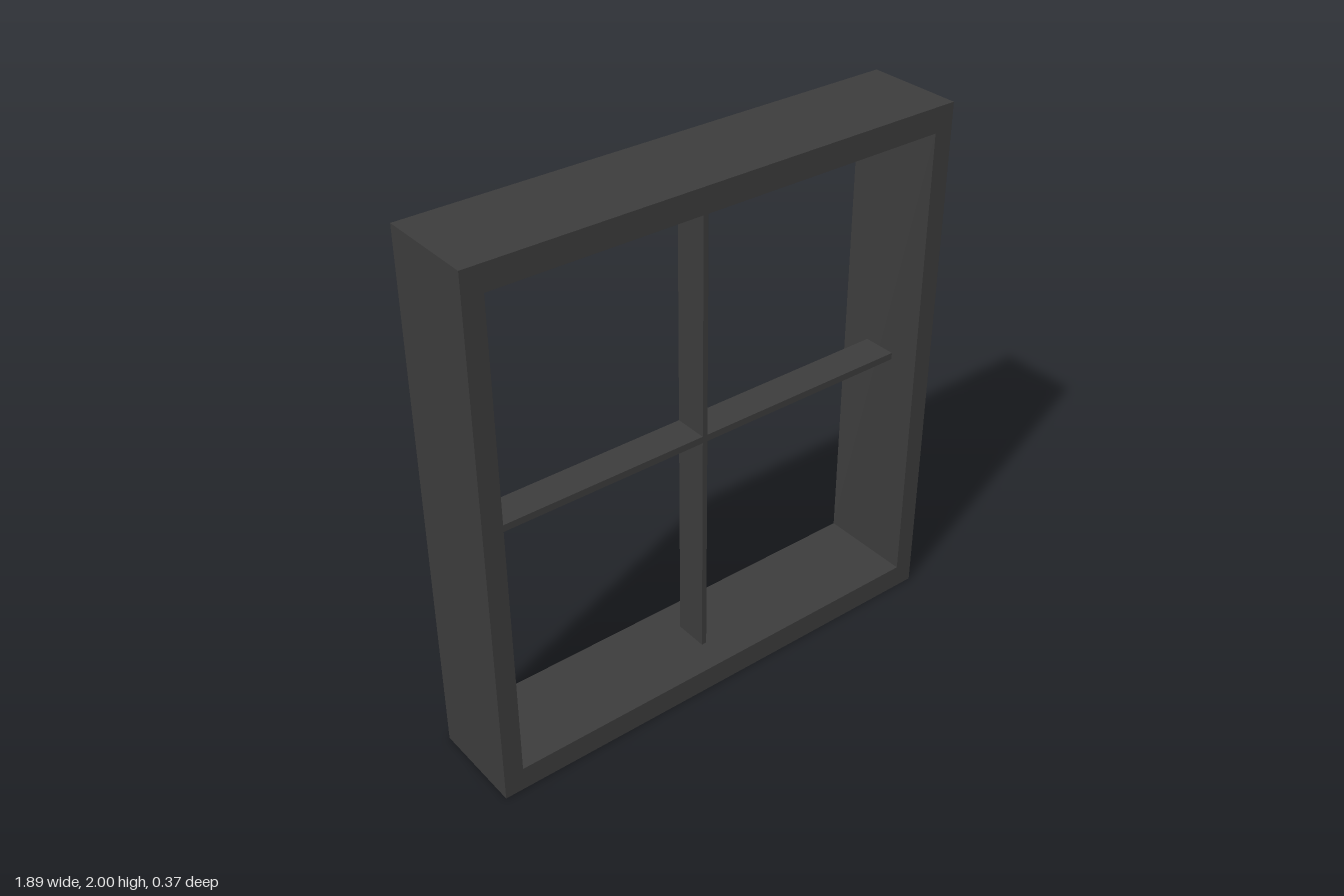
import * as THREE from 'three';

const WIDTH = 1.89, HEIGHT = 2, DEPTH = 0.365;
const SIDE = 0.074, RAIL = 0.092; // frame thickness at the sides and at top/bottom
const BAR_DEPTH = 0.13, MULLION = 0.02, TRANSOM = 0.026;

// Rectangle outline centred on x, from y0 to y1
function rectangle(Type, halfWidth, y0, y1) {
  const path = new Type();
  path.moveTo(-halfWidth, y0);
  path.lineTo(halfWidth, y0);
  path.lineTo(halfWidth, y1);
  path.lineTo(-halfWidth, y1);
  path.closePath();
  return path;
}

export function createModel() {
  const group = new THREE.Group();
  group.name = 'window';
  const darkGrey = new THREE.MeshStandardMaterial({ color: 0x3c3c3c });
  darkGrey.name = 'darkGrey';

  function add(name, geometry, x = 0, y = 0, z = 0) {
    const mesh = new THREE.Mesh(geometry, darkGrey);
    mesh.name = name;
    mesh.position.set(x, y, z);
    group.add(mesh);
  }

  // Deep outer frame with a rectangular opening
  const innerHalf = WIDTH / 2 - SIDE;
  const outline = rectangle(THREE.Shape, WIDTH / 2, 0, HEIGHT);
  outline.holes.push(rectangle(THREE.Path, innerHalf, RAIL, HEIGHT - RAIL));
  add('outerFrame', new THREE.ExtrudeGeometry(outline, { depth: DEPTH, bevelEnabled: false }), 0, 0, -DEPTH / 2);

  // Vertical glazing bar
  add('verticalBar', new THREE.BoxGeometry(MULLION, HEIGHT - 2 * RAIL, BAR_DEPTH), 0, HEIGHT / 2);

  // Horizontal glazing bar, one half on each side of the vertical bar
  const length = innerHalf - MULLION / 2;
  for (const [name, side] of [['leftHorizontalBar', 1], ['rightHorizontalBar', -1]]) {
    add(name, new THREE.BoxGeometry(length, TRANSOM, BAR_DEPTH), side * (MULLION + length) / 2, HEIGHT / 2);
  }

  return group;
}
